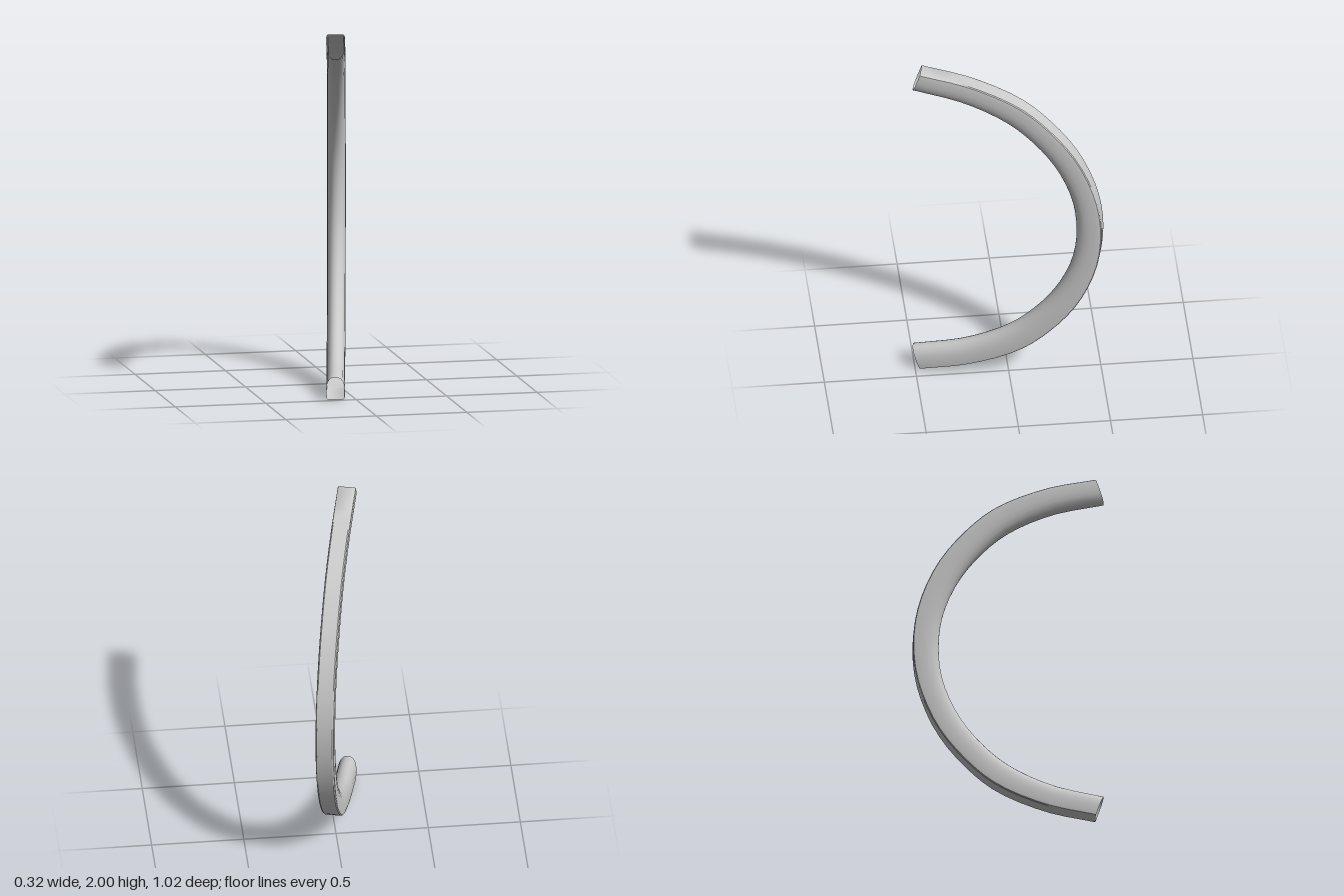
import * as THREE from 'three';
import { toCreasedNormals } from 'three/addons/utils/BufferGeometryUtils.js';

const HALF_WIDTH = 0.05;
const SEGMENTS = 40;

// Mirror the upper half of an arc about y = 1 and return a smooth curve, bottom to top
function arc(upper) {
  const top = upper.map(([z, y]) => new THREE.Vector3(0, 1 + y, z));
  const bottom = upper.slice(1).reverse().map(([z, y]) => new THREE.Vector3(0, 1 - y, z));
  return new THREE.CatmullRomCurve3([...bottom, ...top], false, 'centripetal');
}

// Sweep a U-shaped section (flat outside, rounded inside) between two arcs
function sweptShell(outer, inner) {
  // [width fraction, depth fraction] from the outer face to the inner ridge
  const side = [[0.84, 0], [0.96, 0.03], [1, 0.1], [1, 0.45], [0.94, 0.65], [0.78, 0.82], [0.52, 0.94], [0.25, 0.99]];
  const section = [...side, [0, 1], ...side.map(([w, d]) => [-w, d]).reverse()];
  const n = section.length;
  const positions = [], indices = [];

  for (let i = 0; i <= SEGMENTS; i++) {
    const a = outer.getPoint(i / SEGMENTS);
    const b = inner.getPoint(i / SEGMENTS);
    for (const [w, d] of section) {
      const p = a.clone().lerp(b, d);
      positions.push(w * HALF_WIDTH, p.y, p.z);
    }
  }
  for (let i = 0; i < SEGMENTS; i++) {
    for (let j = 0; j < n; j++) {
      const k = (j + 1) % n;
      const a = i * n + j, b = i * n + k, c = a + n, d = b + n;
      indices.push(a, c, b, b, c, d);
    }
  }
  const geometry = new THREE.BufferGeometry();
  geometry.setAttribute('position', new THREE.Float32BufferAttribute(positions, 3));
  geometry.setIndex(indices);
  return toCreasedNormals(geometry, 0.6);
}

export function createModel() {
  const group = new THREE.Group();
  group.name = 'curvedHandle';

  // Curved bar, hollow and open at both ends
  const outer = arc([[-0.51, 0], [-0.48, 0.236], [-0.378, 0.485], [-0.227, 0.682], [-0.06, 0.825], [0.207, 0.942], [0.477, 1]]);
  const inner = arc([[-0.37, 0], [-0.346, 0.2], [-0.26, 0.405], [-0.13, 0.575], [0.018, 0.7], [0.245, 0.808], [0.521, 0.872]]);
  const bar = new THREE.Mesh(
    sweptShell(outer, inner),
    new THREE.MeshStandardMaterial({ color: 0xcccccc, side: THREE.DoubleSide })
  );
  bar.name = 'handleBar';
  bar.rotation.y = -0.225;
  group.add(bar);

  return group;
}
